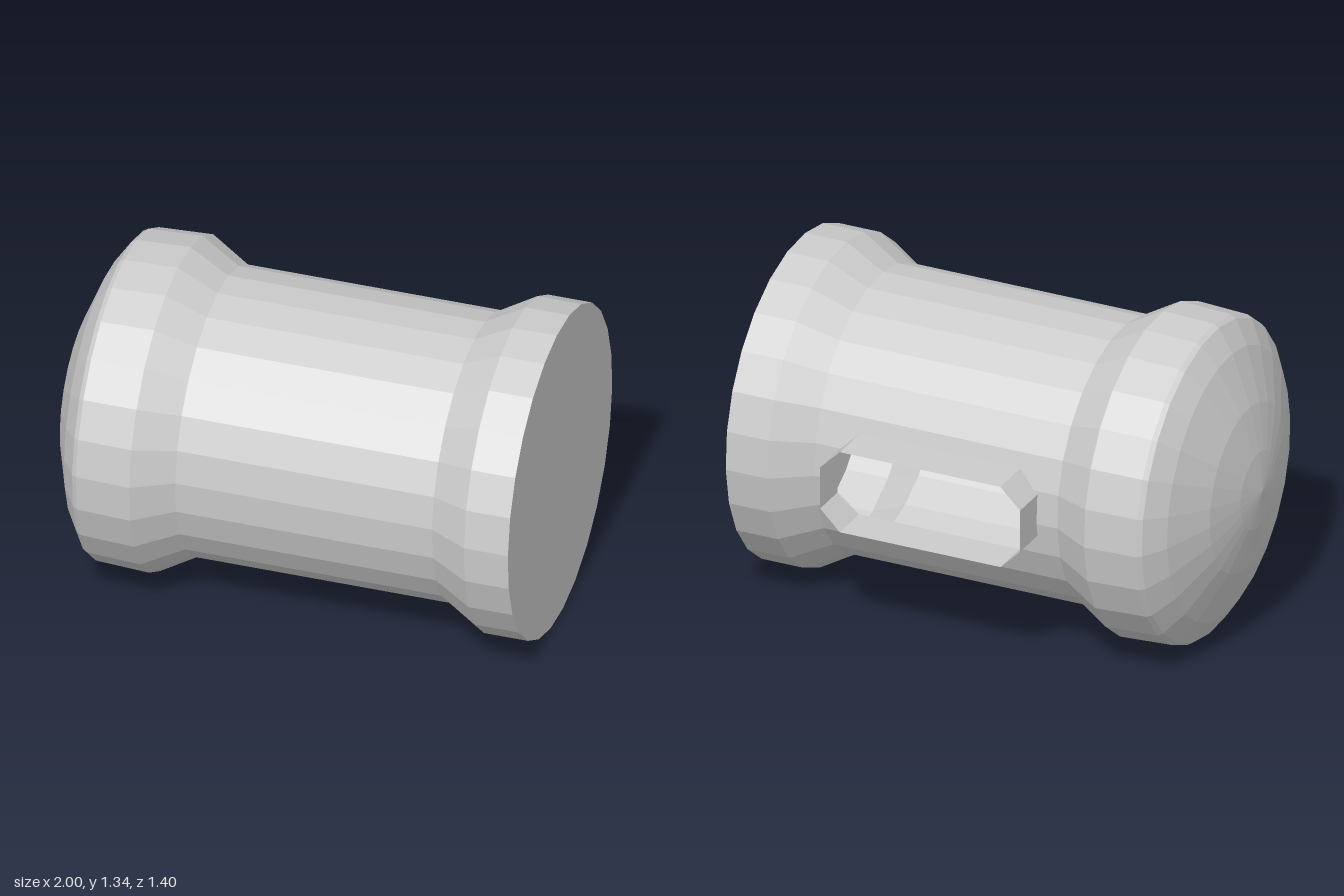
import * as THREE from 'three';

const SIDES = 26, CY = 0.673, CZ = 0.026, BARREL_R = 0.58;
const BARREL_X0 = -0.39, BARREL_X1 = 0.66;
const angle = (k) => ((3.6 + (k * 360) / SIDES) * Math.PI) / 180; // from straight down, towards the back
const ringPoint = (x, r, k) => new THREE.Vector3(x, CY - r * Math.cos(angle(k)), CZ - r * Math.sin(angle(k)));

// Collects quads as separate triangles, so every facet is flat
function facets() {
  const pos = [];
  const tri = (a, b, c) => {
    const area = b.clone().sub(a).cross(c.clone().sub(a)).length();
    if (area > 1e-7) for (const p of [a, b, c]) pos.push(p.x, p.y, p.z);
  };
  return {
    quad(a, b, c, d) { tri(a, b, c); tri(a, c, d); },
    geometry() {
      const g = new THREE.BufferGeometry();
      g.setAttribute('position', new THREE.Float32BufferAttribute(pos, 3));
      g.computeVertexNormals();
      return g;
    },
  };
}

// Surface of revolution about x from [x, radius] pairs
function revolve(f, profile, from = 0, to = SIDES) {
  for (let i = 0; i < profile.length - 1; i++) {
    const [x0, r0] = profile[i], [x1, r1] = profile[i + 1];
    for (let k = from; k < to; k++) {
      f.quad(ringPoint(x0, r0, k), ringPoint(x0, r0, k + 1), ringPoint(x1, r1, k + 1), ringPoint(x1, r1, k));
    }
  }
  return f;
}

// Slot outline: an oblong with cut corners
const SLOT = { x0: -0.3, x1: 0.565, y0: 0.5, y1: 0.85, cut: 0.085 };
const FIRST = 4, LAST = 8; // barrel facets the slot passes through

// Depth of the faceted barrel wall at a height on its back
function wallZ(y) {
  for (let k = FIRST; k < LAST; k++) {
    const a = ringPoint(0, BARREL_R, k), b = ringPoint(0, BARREL_R, k + 1);
    if (y <= b.y + 1e-6) return a.z + ((b.z - a.z) * (y - a.y)) / (b.y - a.y);
  }
  return CZ - BARREL_R;
}

// How far the cut corners pull the slot's ends in at a height
const inset = (y) => Math.max(0, SLOT.y0 + SLOT.cut - y, y - SLOT.y1 + SLOT.cut);

export function createModel() {
  const group = new THREE.Group();
  const grey = new THREE.MeshStandardMaterial({ color: 0xcccccc, flatShading: true, side: THREE.DoubleSide });
  grey.name = 'light grey';
  const add = (name, f) => {
    const mesh = new THREE.Mesh(f.geometry(), grey);
    mesh.name = name;
    group.add(mesh);
  };

  // Rounded end
  add('domedEnd', revolve(facets(), [
    [-1, 0], [-0.98, 0.16], [-0.937, 0.345], [-0.853, 0.555], [-0.79, 0.65],
    [-0.77, 0.662], [-0.55, 0.672], [BARREL_X0, BARREL_R],
  ]));

  // Flat end with its flare
  add('flatEnd', revolve(facets(), [[BARREL_X1, BARREL_R], [0.82, 0.672], [1, 0.672], [1, 0]]));

  // Hollow barrel, open at the slot
  const barrel = revolve(facets(), [[BARREL_X0, BARREL_R], [BARREL_X1, BARREL_R]], LAST, SIDES + FIRST);
  const heights = [SLOT.y0, SLOT.y0 + SLOT.cut, SLOT.y1 - SLOT.cut, SLOT.y1];
  for (let k = FIRST; k <= LAST; k++) heights.push(ringPoint(0, BARREL_R, k).y);
  heights.sort((a, b) => a - b);
  const onWall = (x, y) => new THREE.Vector3(x, y, wallZ(y));
  const strip = (xa0, xa1, xb0, xb1, y0, y1) =>
    barrel.quad(onWall(xa0, y0), onWall(xa1, y1), onWall(xb1, y1), onWall(xb0, y0));
  for (let i = 0; i < heights.length - 1; i++) {
    const y0 = heights[i], y1 = heights[i + 1], mid = (y0 + y1) / 2;
    if (mid < SLOT.y0 || mid > SLOT.y1) {
      strip(BARREL_X0, BARREL_X0, BARREL_X1, BARREL_X1, y0, y1);
    } else {
      strip(BARREL_X0, BARREL_X0, SLOT.x0 + inset(y0), SLOT.x0 + inset(y1), y0, y1);
      strip(SLOT.x1 - inset(y0), SLOT.x1 - inset(y1), BARREL_X1, BARREL_X1, y0, y1);
    }
  }
  add('barrel', barrel);

  // Thin collar standing out from the slot's edge
  const collar = facets();
  const slotHeights = heights.filter((y) => y >= SLOT.y0 && y <= SLOT.y1);
  const outline = [
    ...slotHeights.map((y) => [SLOT.x1 - inset(y), y]),
    ...slotHeights.slice().reverse().map((y) => [SLOT.x0 + inset(y), y]),
  ];
  outline.forEach(([xa, ya], i) => {
    const [xb, yb] = outline[(i + 1) % outline.length];
    const rim = (x, y) => new THREE.Vector3(x, y, -0.7);
    collar.quad(onWall(xa, ya), rim(xa, ya), rim(xb, yb), onWall(xb, yb));
  });
  add('slotCollar', collar);

  return group;
}
